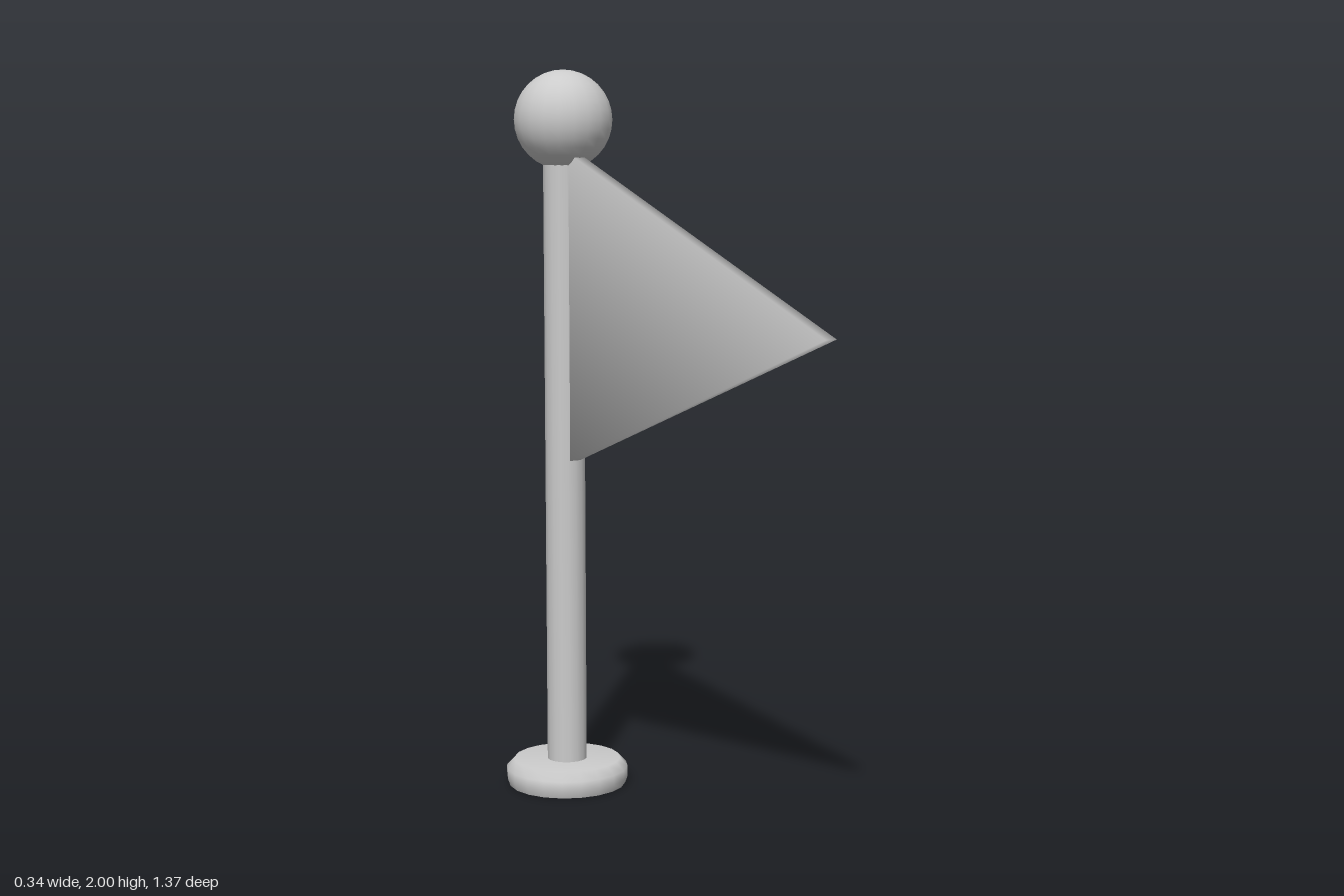
import * as THREE from 'three';

const POLE_Z = -0.51;
const material = new THREE.MeshStandardMaterial({ color: 0xcccccc });

// Thin triangular prism with soft, angle-weighted corner normals
function pennantGeometry(corners, halfThickness) {
  const pts = corners.map(([z, y]) => new THREE.Vector2(z, y)); // clockwise in (z, y)
  const positions = [], normals = [];
  const outward = (a, b) => new THREE.Vector2(a.y - b.y, b.x - a.x).normalize();
  for (const side of [1, -1]) {
    pts.forEach((p, i) => {
      const next = pts[(i + 1) % 3], prev = pts[(i + 2) % 3];
      const a = next.clone().sub(p), b = prev.clone().sub(p);
      const angle = Math.acos(a.dot(b) / (a.length() * b.length()));
      const edge = outward(p, next).add(outward(prev, p)).multiplyScalar(Math.PI / 2);
      const n = new THREE.Vector3(side * angle, edge.y, edge.x).normalize();
      positions.push(side * halfThickness, p.y, p.x);
      normals.push(n.x, n.y, n.z);
    });
  }
  const index = [0, 1, 2, 3, 5, 4];
  for (let i = 0; i < 3; i++) {
    const j = (i + 1) % 3;
    index.push(i, i + 3, j, j, i + 3, j + 3);
  }
  const geometry = new THREE.BufferGeometry();
  geometry.setAttribute('position', new THREE.Float32BufferAttribute(positions, 3));
  geometry.setAttribute('normal', new THREE.Float32BufferAttribute(normals, 3));
  geometry.setIndex(index);
  return geometry;
}

export function createModel() {
  const model = new THREE.Group();
  model.name = 'pennantFlag';

  function add(name, geometry, y = 0, z = POLE_Z) {
    const mesh = new THREE.Mesh(geometry, material);
    mesh.name = name;
    mesh.position.set(0, y, z);
    model.add(mesh);
    return mesh;
  }

  // Rounded foot with a flat underside
  const footProfile = [[0.165, 0], [0.172, 0.02], [0.172, 0.048], [0.15, 0.072], [0, 0.072]]
    .map(([r, y]) => new THREE.Vector2(r, y));
  add('foot', new THREE.LatheGeometry(footProfile, 20));
  add('footUnderside', new THREE.CircleGeometry(0.165, 20).rotateX(Math.PI / 2).rotateY(Math.PI / 2));

  // Pole and ball finial
  add('pole', new THREE.CylinderGeometry(0.056, 0.056, 1.75, 16), 0.925);
  add('ball', new THREE.SphereGeometry(0.135, 20, 16), 1.865);

  // Pennant, its hoist edge tucked into the pole
  add('pennant', pennantGeometry([[-0.47, 1.78], [0.685, 1.355], [-0.47, 0.926]], 0.016), 0, 0).material =
    new THREE.MeshStandardMaterial({ color: 0xcccccc, side: THREE.DoubleSide });

  return model;
}
